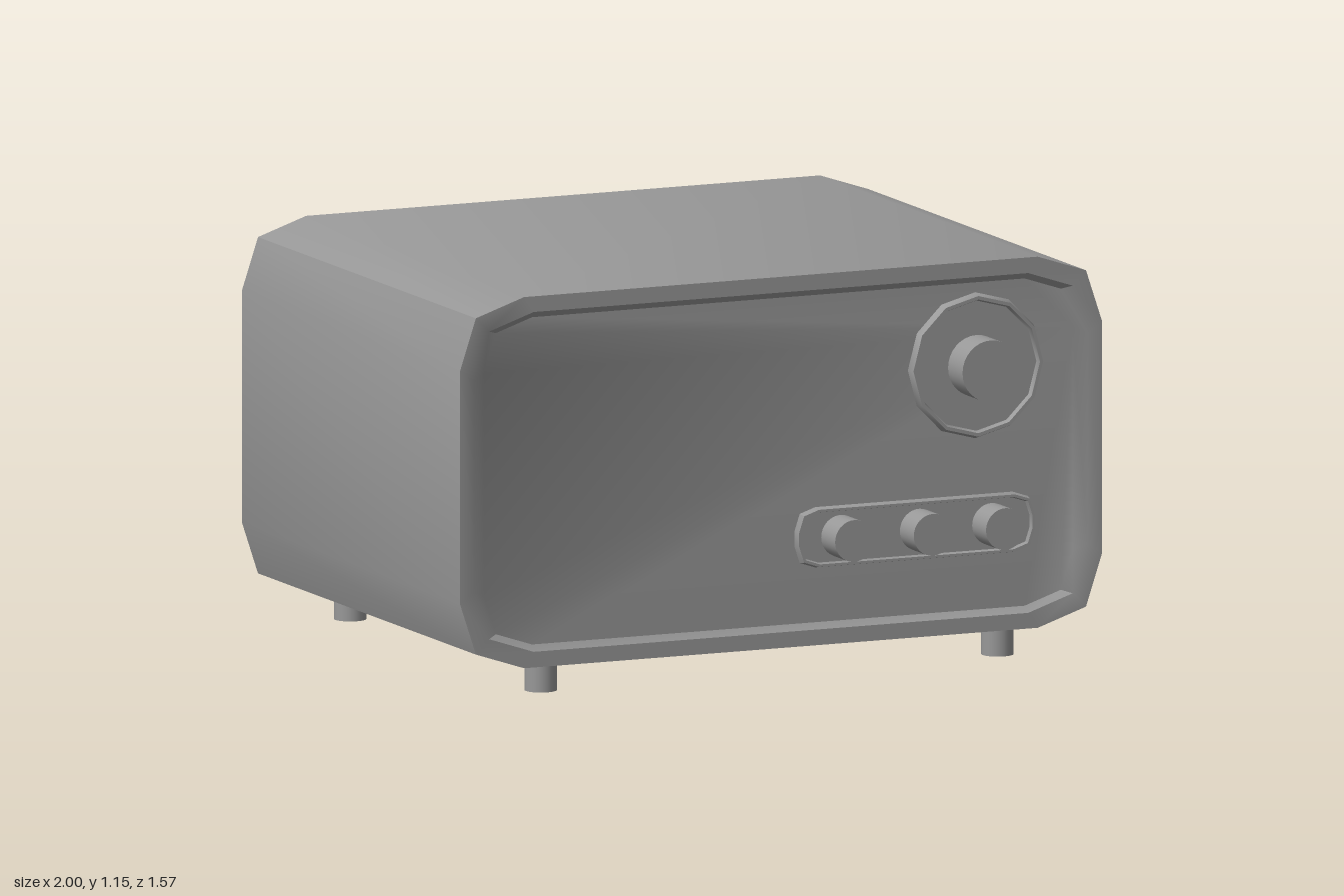
import * as THREE from 'three';
import { toCreasedNormals } from 'three/addons/utils/BufferGeometryUtils.js';

const grey = new THREE.MeshStandardMaterial({ color: 0x989898 });

// Rectangle with two-step chamfered corners, counter-clockwise seen from +z
function outline(cx, cy, hw, hh, c, z) {
  const corner = [[hw, hh - c], [hw - c / 4, hh - c / 4], [hw - c, hh]];
  const flipX = ([x, y]) => [-x, y];
  const half = [...corner, ...[...corner].reverse().map(flipX)];
  const all = [...half, ...half.map(([x, y]) => [-x, -y])];
  return all.map(([x, y]) => new THREE.Vector3(cx + x, cy + y, z));
}

// Regular polygon
function ring(cx, cy, r, n, z) {
  return Array.from({ length: n }, (_, i) => {
    const a = (i / n) * Math.PI * 2;
    return new THREE.Vector3(cx + r * Math.cos(a), cy + r * Math.sin(a), z);
  });
}

// Skin a series of loops and close both ends
function loft(loops) {
  const n = loops[0].length;
  const points = loops.flat();
  const index = [];
  for (let k = 0; k < loops.length - 1; k++) {
    for (let i = 0; i < n; i++) {
      const a = k * n + i, b = k * n + (i + 1) % n;
      index.push(a, b, b + n, a, b + n, a + n);
    }
  }
  const last = (loops.length - 1) * n;
  for (let i = 1; i < n - 1; i++) {
    index.push(0, i + 1, i);
    index.push(last, last + i, last + i + 1);
  }
  const g = new THREE.BufferGeometry().setFromPoints(points);
  g.setIndex(index);
  return toCreasedNormals(g, 0.55);
}

export function createModel() {
  const model = new THREE.Group();
  model.name = 'radio';

  const add = (name, geometry, x = 0, y = 0, z = 0) => {
    const mesh = new THREE.Mesh(geometry, grey);
    mesh.name = name;
    mesh.position.set(x, y, z);
    model.add(mesh);
  };

  // Cabinet with a raised rim around the slightly sunken front panel
  const cy = 0.618;
  add('cabinet', loft([
    outline(0, cy, 1, 0.533, 0.2, -0.782),
    outline(0, cy, 1, 0.533, 0.2, 0.695),
    outline(0, cy, 0.955, 0.488, 0.185, 0.695),
    outline(0, cy, 0.917, 0.47, 0.15, 0.677),
  ]));

  // Dial bezel with a shallow dish
  const dx = 0.613, dy = 0.85;
  add('dialBezel', loft([
    ring(dx, dy, 0.212, 12, 0.67),
    ring(dx, dy, 0.202, 12, 0.699),
    ring(dx, dy, 0.192, 12, 0.699),
    ring(dx, dy, 0.187, 12, 0.685),
  ]));

  // Long plate behind the three small knobs
  const px = 0.422, py = 0.392;
  add('knobPlate', loft([
    outline(px, py, 0.373, 0.088, 0.065, 0.67),
    outline(px, py, 0.367, 0.082, 0.062, 0.699),
    outline(px, py, 0.36, 0.075, 0.058, 0.699),
    outline(px, py, 0.357, 0.072, 0.056, 0.685),
  ]));

  // Knobs point forward
  const knob = (r) => new THREE.CylinderGeometry(r, r, 0.11, 32).rotateX(Math.PI / 2);
  add('tuningKnob', knob(0.088), dx, dy, 0.728);
  [0.19, 0.435, 0.66].forEach((x, i) => add('smallKnob' + (i + 1), knob(0.06), x, py, 0.724));

  // Four feet
  for (const x of [0.72, -0.702]) {
    for (const z of [0.595, -0.697]) {
      const name = (z > 0 ? 'front' : 'back') + (x > 0 ? 'Left' : 'Right') + 'Foot';
      add(name, new THREE.CylinderGeometry(0.046, 0.046, 0.1, 24), x, 0.05, z);
    }
  }
  return model;
}
